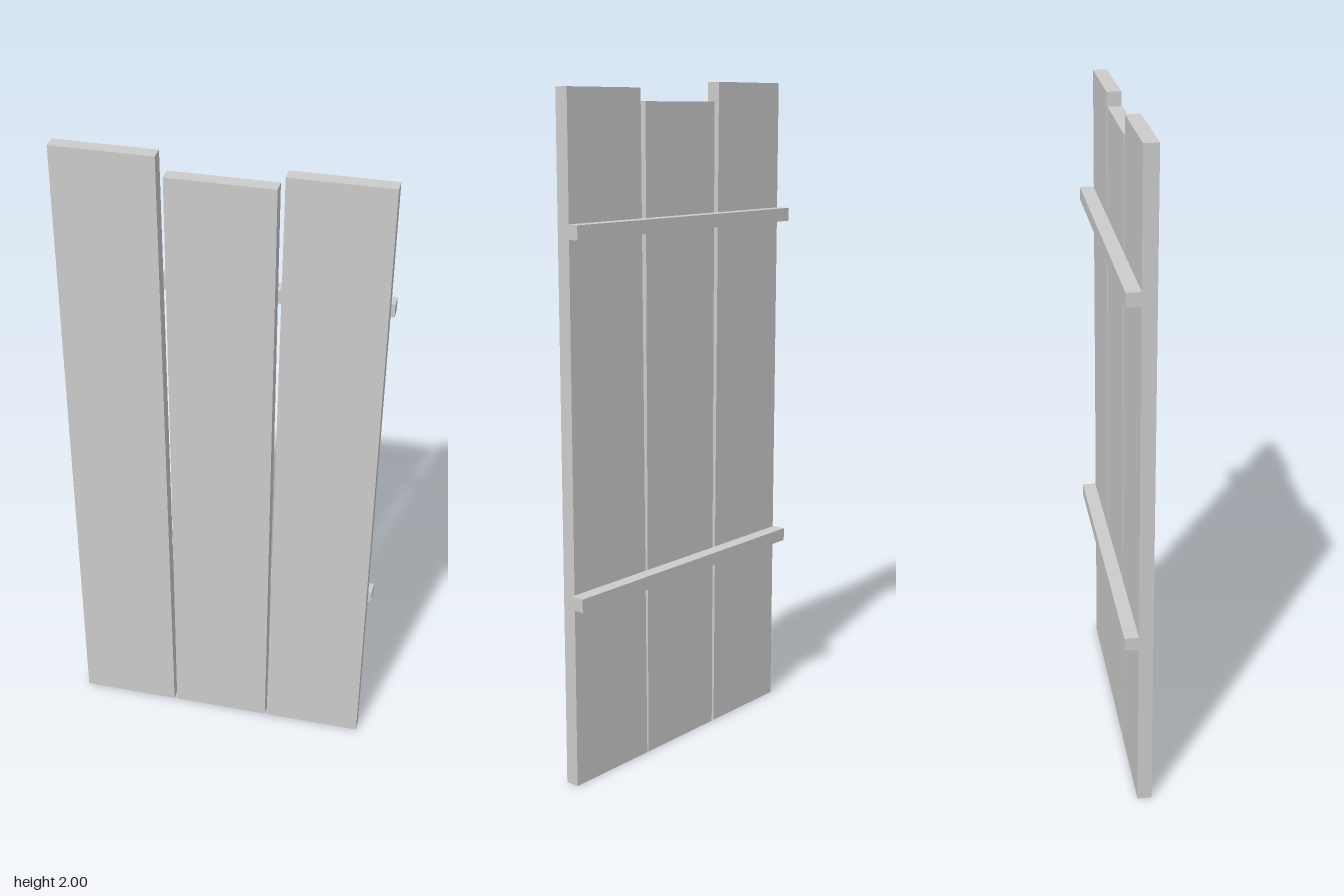
import * as THREE from 'three';

const DEPTH = 0.042;

export function createModel() {
  const group = new THREE.Group();
  const material = new THREE.MeshStandardMaterial({ color: 0xcccccc, flatShading: true });

  const add = (name, geometry) => {
    const mesh = new THREE.Mesh(geometry, material);
    mesh.name = name;
    group.add(mesh);
    return mesh;
  };

  // Upright planks, slightly tapered towards the top: bottom and top x ranges, height
  const planks = [
    ['rightPlank', -0.467, -0.163, -0.467, -0.174, 2.0],
    ['middlePlank', -0.154, 0.151, -0.154, 0.151, 1.943],
    ['leftPlank', 0.157, 0.461, 0.171, 0.461, 1.98],
  ];
  for (const [name, b0, b1, t0, t1, height] of planks) {
    const outline = new THREE.Shape([
      new THREE.Vector2(b0, 0),
      new THREE.Vector2(b1, 0),
      new THREE.Vector2(t1, height),
      new THREE.Vector2(t0, height),
    ]);
    add(name, new THREE.ExtrudeGeometry(outline, { depth: DEPTH, bevelEnabled: false }));
  }

  // Cross rails on the back
  for (const [name, y] of [['lowerRail', 0.56], ['upperRail', 1.6]]) {
    add(name, new THREE.BoxGeometry(0.944, 0.04, DEPTH)).position.set(0, y, -DEPTH / 2);
  }

  return group;
}
